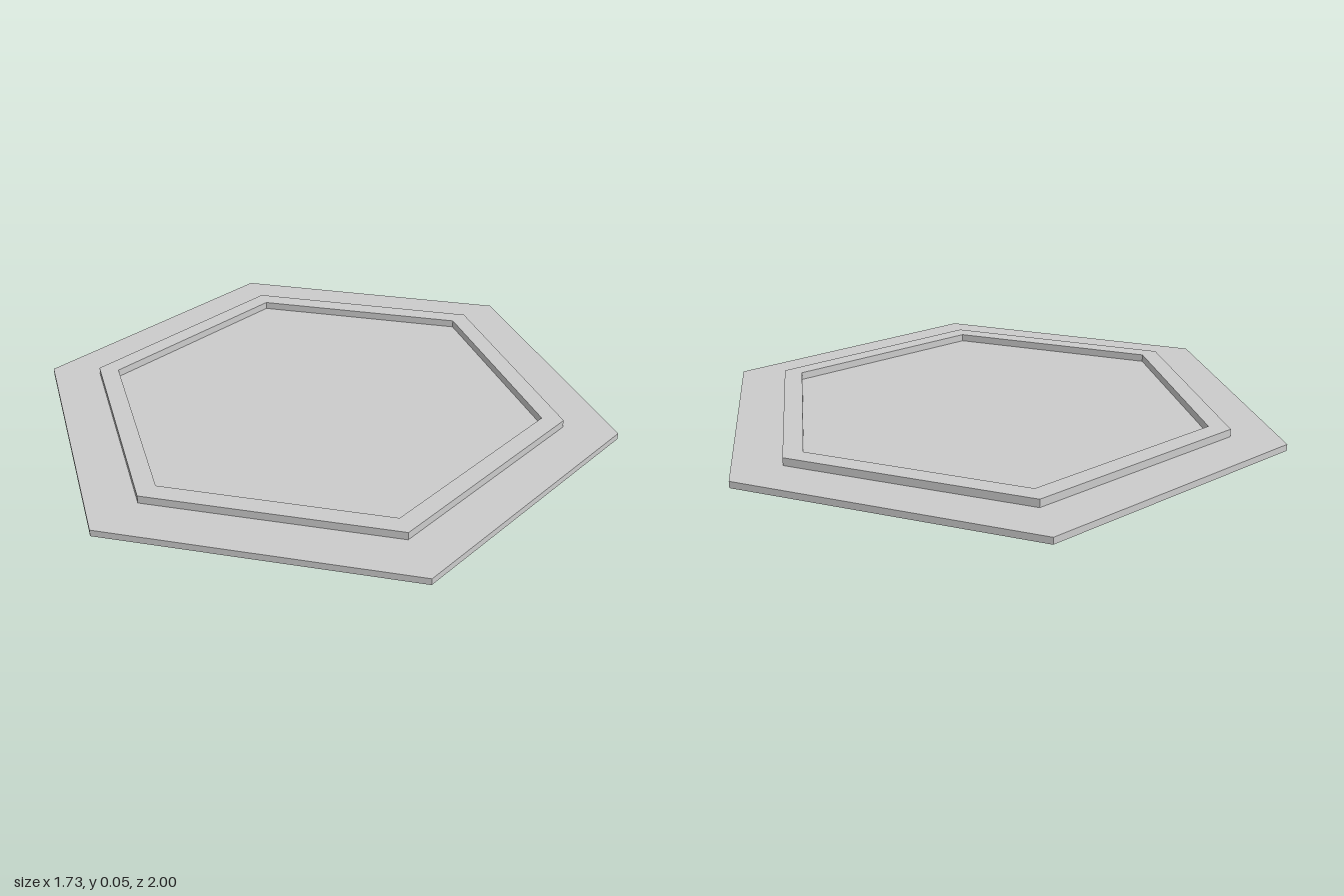
import * as THREE from 'three';

const PLATE_RADIUS = 1, PLATE_HEIGHT = 0.022;
const RIM_OUTER = 0.82, RIM_INNER = 0.748, RIM_TOP = 0.048;

// Corner points of a hexagon with a corner pointing along z
function hexagon(radius) {
  return Array.from({ length: 6 }, (_, i) => {
    const a = Math.PI / 2 + (i * Math.PI) / 3;
    return new THREE.Vector2(radius * Math.cos(a), radius * Math.sin(a));
  });
}

// Upright hexagonal prism, optionally hollow, from y = bottom to y = top
function hexPrism(name, material, radius, bottom, top, holeRadius = 0) {
  const shape = new THREE.Shape(hexagon(radius));
  if (holeRadius) shape.holes.push(new THREE.Path(hexagon(holeRadius)));
  const geometry = new THREE.ExtrudeGeometry(shape, { depth: top - bottom, bevelEnabled: false });
  geometry.rotateX(-Math.PI / 2).translate(0, bottom, 0);
  const mesh = new THREE.Mesh(geometry, material);
  mesh.name = name;
  return mesh;
}

export function createModel() {
  const model = new THREE.Group();
  model.name = 'hexagonalTile';
  const material = new THREE.MeshStandardMaterial({ color: 0xcccccc, flatShading: true });

  // Thin base plate with a raised rim standing on it
  model.add(
    hexPrism('basePlate', material, PLATE_RADIUS, 0, PLATE_HEIGHT),
    hexPrism('raisedRim', material, RIM_OUTER, PLATE_HEIGHT, RIM_TOP, RIM_INNER),
  );
  return model;
}
